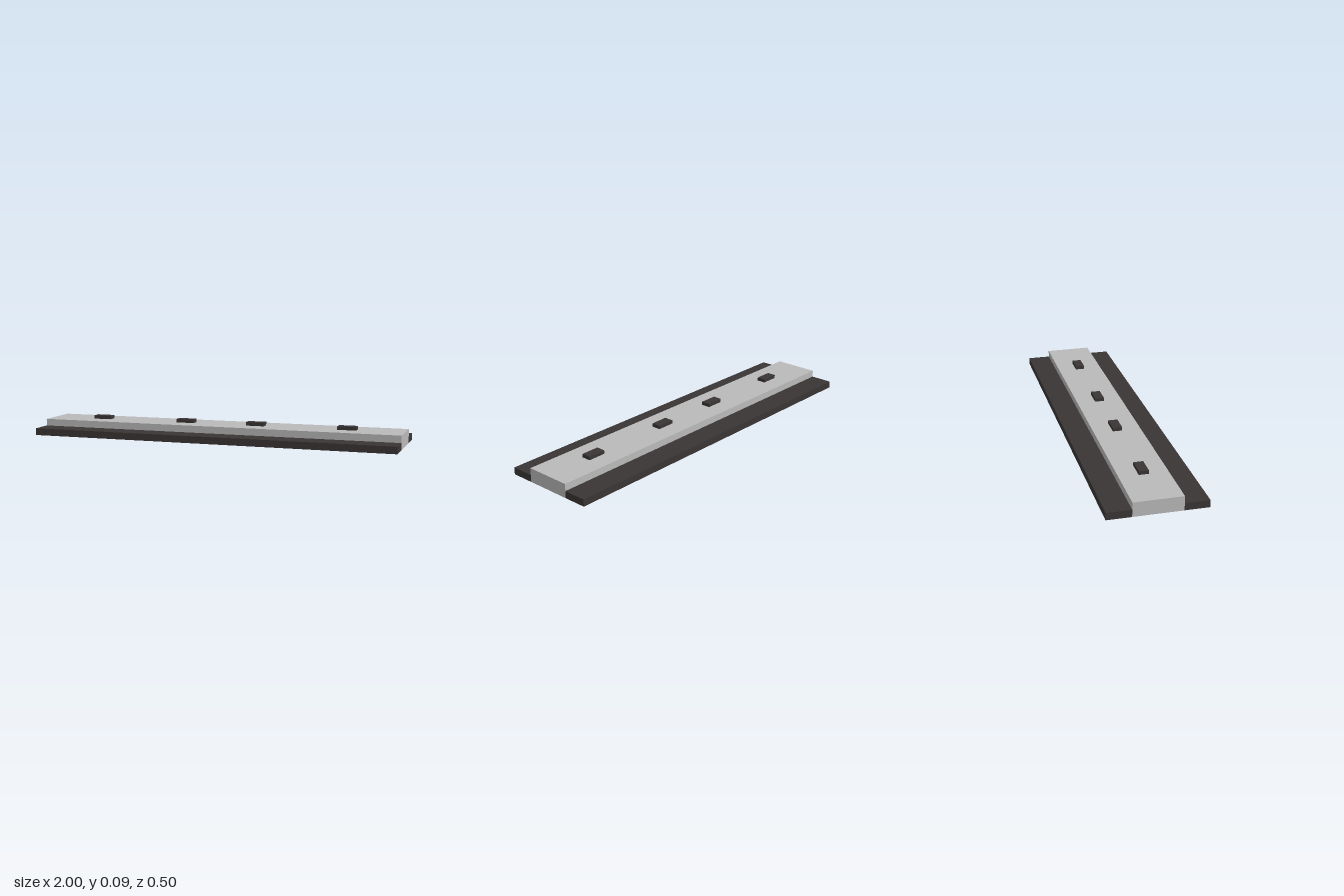
import * as THREE from 'three';

export function createModel() {
  const model = new THREE.Group();
  model.name = 'steppedPlatform';

  const lightGrey = new THREE.MeshStandardMaterial({ color: 0xbababa });
  lightGrey.name = 'lightGrey';
  const darkBrown = new THREE.MeshStandardMaterial({ color: 0x3b3535 });
  darkBrown.name = 'darkBrown';

  // Box standing on height y
  function addBox(name, material, w, h, d, x, y, z) {
    const mesh = new THREE.Mesh(new THREE.BoxGeometry(w, h, d), material);
    mesh.name = name;
    mesh.position.set(x, y + h / 2, z);
    model.add(mesh);
  }

  // Raised centre slab
  addBox('centreSlab', lightGrey, 2, 0.075, 0.25, 0, 0, 0);

  // Low ledges along the front and back
  for (const side of [1, -1]) {
    addBox(side > 0 ? 'frontLedge' : 'backLedge', darkBrown,
      2, 0.0375, 0.125, 0, 0, side * 0.1875);
  }

  // Small blocks along the centre line
  [-0.7, -0.2, 0.2, 0.7].forEach((x, i) => {
    addBox(`topBlock${i + 1}`, darkBrown, 0.1, 0.01875, 0.05, x, 0.075, 0);
  });

  return model;
}
